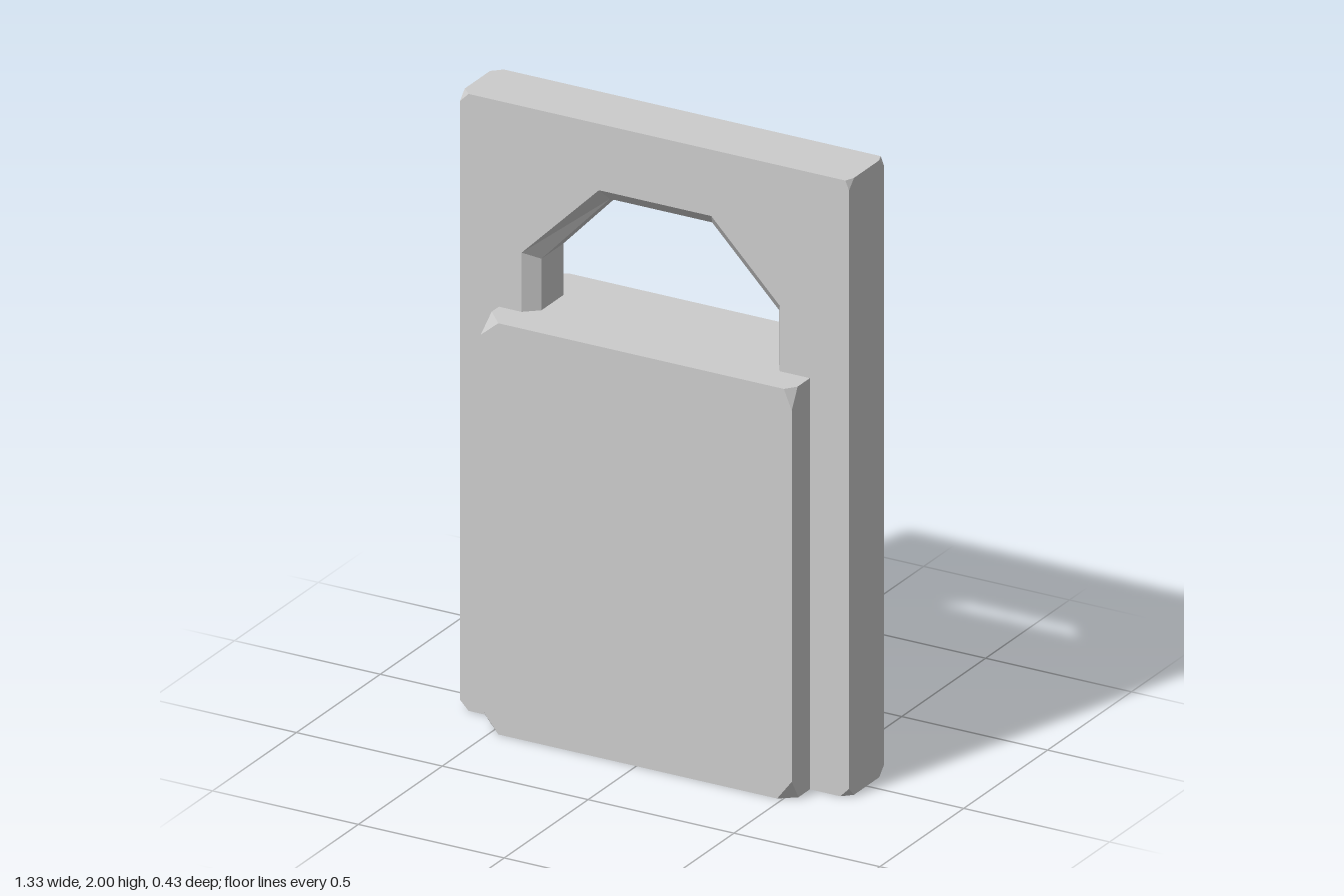
import * as THREE from 'three';
import { ConvexGeometry } from 'three/addons/geometries/ConvexGeometry.js';

const material = new THREE.MeshStandardMaterial({ color: 0xcccccc, flatShading: true });

// Upright plate: outline with clipped corners and a chamfered arch opening
function plateGeometry() {
  const w = 0.667, top = 2, h = 0.105, c = 0.03, chamfer = 0.04;
  const outline = [
    [-w + c, 0], [w - c, 0], [w, c], [w, top - c],
    [w - 0.012, top], [-w + c, top], [-w, top - c], [-w, c],
  ];
  // Rim of the opening on the faces, and its narrower middle
  const rim = [[-0.455, 1.2], [-0.455, 1.525], [-0.19, 1.785], [0.195, 1.785], [0.43, 1.545], [0.43, 1.2]];
  const throat = [[-0.41, 1.2], [-0.41, 1.5], [-0.175, 1.745], [0.175, 1.745], [0.405, 1.51], [0.405, 1.2]];
  const points = (list) => list.map(([x, y]) => new THREE.Vector2(x, y));

  const shape = new THREE.Shape(points(outline));
  shape.holes.push(new THREE.Path(points(rim)));
  const depth = 2 * h;
  const geometry = new THREE.ExtrudeGeometry(shape, { depth, steps: 3, bevelEnabled: false });
  geometry.translate(0, 0, -h);

  // The two inner layers get full corners outside and the narrower opening inside
  const p = geometry.attributes.position;
  for (let i = 0; i < p.count; i++) {
    const x = p.getX(i), y = p.getY(i), z = p.getZ(i);
    if (Math.abs(z) > h * 0.9) continue;
    const k = rim.findIndex(([rx, ry]) => Math.hypot(rx - x, ry - y) < 1e-4);
    if (k >= 0) p.setXYZ(i, throat[k][0], throat[k][1], Math.sign(z) * (h - chamfer));
    else p.setXYZ(i, Math.sign(x) * w, y > 1 ? top : 0, Math.sign(z) * (h - c));
  }
  geometry.computeVertexNormals();
  return geometry;
}

// Box with each corner clipped by its own amount along x, y and z
function clippedBlockGeometry(w, top, h, cuts) {
  const points = [];
  for (const [sx, sy, sz, cx, cy, cz] of cuts) {
    const x = sx * w, y = sy * top, z = sz * h;
    const inY = sy ? -cy : cy;
    points.push(
      new THREE.Vector3(x - sx * cx, y, z),
      new THREE.Vector3(x, y + inY, z),
      new THREE.Vector3(x, y, z - sz * cz),
    );
  }
  return new ConvexGeometry(points);
}

export function createModel() {
  const model = new THREE.Group();
  const add = (name, geometry) => {
    const mesh = new THREE.Mesh(geometry, material);
    mesh.name = name;
    model.add(mesh);
  };

  add('archedPlate', plateGeometry());

  // Thick lower body; rows are corner side (x, y, z) then its cuts
  add('bodyBlock', clippedBlockGeometry(0.533, 1.333, 0.213, [
    [-1, 1, 1, 0.06, 0.05, 0.065],
    [1, 1, 1, 0.027, 0.065, 0.035],
    [-1, 1, -1, 0.06, 0.05, 0.035],
    [1, 1, -1, 0.05, 0.02, 0.105],
    [-1, 0, 1, 0.06, 0.075, 0.06],
    [1, 0, 1, 0.05, 0.065, 0.04],
    [-1, 0, -1, 0.05, 0.07, 0.05],
    [1, 0, -1, 0.05, 0.085, 0.065],
  ]));

  return model;
}
